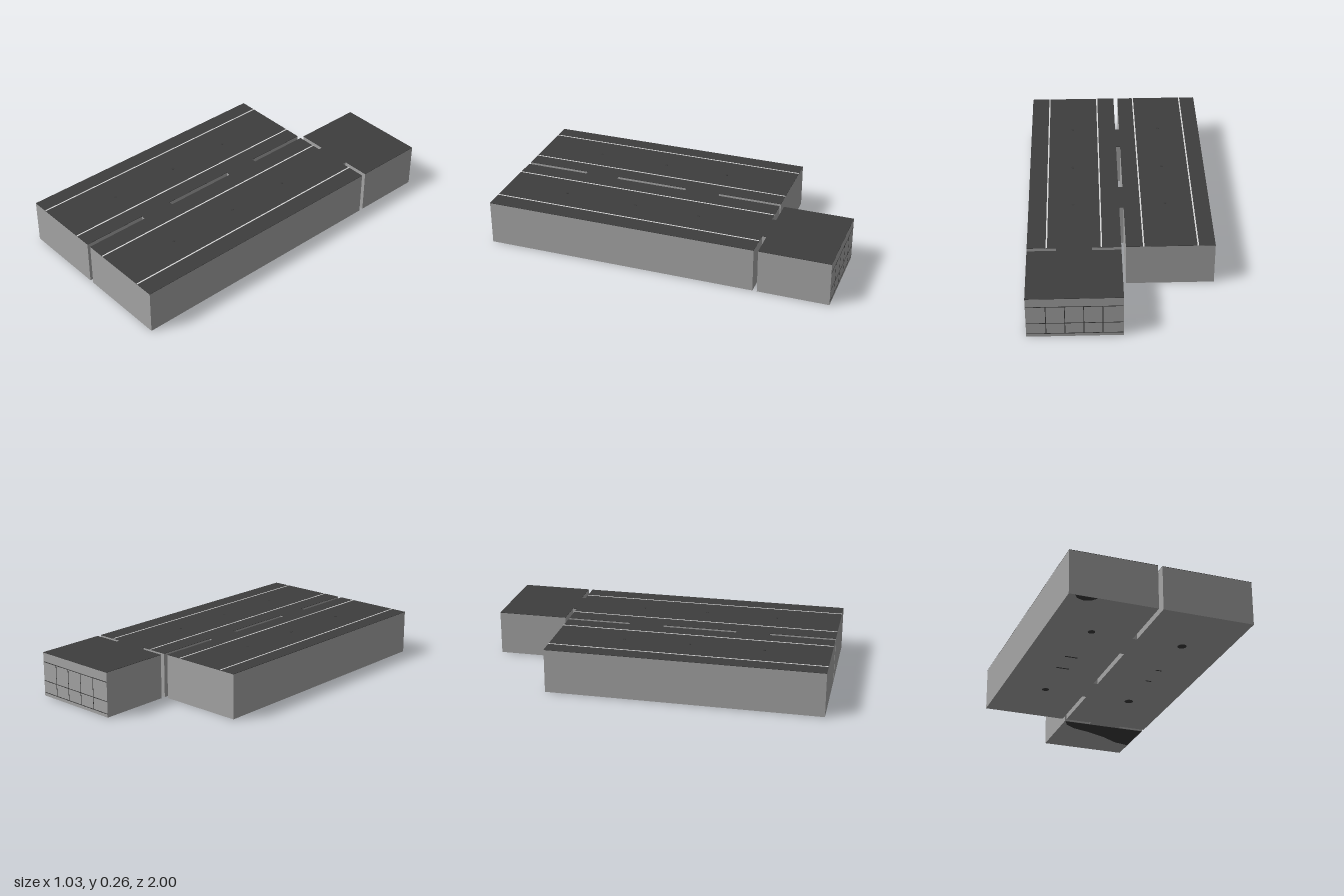
import * as THREE from 'three';

const H = 0.255;

function mat(name, color, side = THREE.FrontSide) {
  const m = new THREE.MeshStandardMaterial({ color, side });
  m.name = name;
  return m;
}

// Plan shape from [x, z] points
const plan = (pts) => pts.map(([x, z]) => new THREE.Vector2(x, -z));

function slab(shape, y, height) {
  const g = new THREE.ExtrudeGeometry(shape, { depth: height, bevelEnabled: false });
  g.rotateX(-Math.PI / 2);
  g.translate(0, y, 0);
  return g;
}

export function createModel() {
  const root = new THREE.Group();
  const grey = mat('wall grey', 0xa4a4a4);
  const dark = mat('roof charcoal', 0x3d3d3d);
  const pale = mat('stripe pale grey', 0xd8d8d8);
  const black = mat('mark dark grey', 0x3a3a3a);

  const add = (name, geometry, material, parent = root) => {
    const m = new THREE.Mesh(geometry, material);
    m.name = name;
    parent.add(m);
    return m;
  };
  const box = (name, size, pos, material) =>
    add(name, new THREE.BoxGeometry(...size), material).position.set(...pos);

  // Two long halls and a rear block, joined by short bridges across narrow gaps
  const outline = new THREE.Shape(plan([
    [-0.515, 1], [-0.025, 1], [-0.025, 0.625], [0, 0.625], [0, 1], [0.515, 1],
    [0.515, -0.57], [0.355, -0.57], [0.355, -0.595], [0.515, -0.595],
    [0.515, -1], [0, -1], [0, -0.595], [0.16, -0.595], [0.16, -0.57], [0, -0.57],
    [0, -0.2], [-0.025, -0.2], [-0.025, -0.57], [-0.515, -0.57],
  ]));
  outline.holes.push(new THREE.Path(plan([[-0.025, 0], [0, 0], [0, 0.43], [-0.025, 0.43]])));
  add('walls and floor', slab(outline, 0, H - 0.002), grey);
  add('roof', slab(outline, H - 0.002, 0.002), dark);

  // Long roof stripes
  for (const x of [-0.42, -0.122, 0.108, 0.408])
    box('roof stripe', [0.008, 0.001, 1.57], [x, H + 0.0003, 0.215], pale);

  // Small roof fixtures, with round and bar marks on the underside
  for (const x of [-0.262, 0.262]) {
    for (const z of [0.63, 0.21, -0.17]) {
      const d = add('roof fixture', new THREE.CylinderGeometry(0.008, 0.008, 0.002, 12), black);
      d.position.set(x, H + 0.0005, z);
    }
    const r = x > 0 ? 0.025 : 0.02;
    for (const z of [0.63, -0.176]) {
      const d = add('underside disc', new THREE.CylinderGeometry(r, r, 0.002, 20), black);
      d.position.set(x, -0.0005, z);
    }
    const w = x > 0 ? 0.035 : 0.075;
    for (const z of [0.295, 0.14])
      box('underside bar', [w, 0.002, 0.008], [x, -0.0005, z], black);
  }

  // Dark patches under the rear block and the front corner
  const rear = new THREE.Shape(plan([
    [0.51, -0.597], [0.51, -0.85], [0.42, -0.83], [0.32, -0.77],
    [0.2, -0.72], [0.09, -0.69], [0.03, -0.65], [0.005, -0.6],
  ]));
  add('rear underside patch', slab(rear, -0.0015, 0.002), black);
  const corner = new THREE.Shape(plan([
    [-0.48, 0.998], [-0.36, 0.998], [-0.38, 0.97], [-0.42, 0.955], [-0.46, 0.97],
  ]));
  add('front underside patch', slab(corner, -0.0015, 0.002), black);

  // Panel seams on the rear face
  for (const y of [0.2, 0.09, 0.02])
    box('rear horizontal seam', [0.511, 0.004, 0.001], [0.2575, y, -1], black);
  for (const x of [0.11, 0.21, 0.31, 0.41])
    box('rear vertical seam', [0.004, 0.18, 0.001], [x, 0.11, -1], black);

  return root;
}
